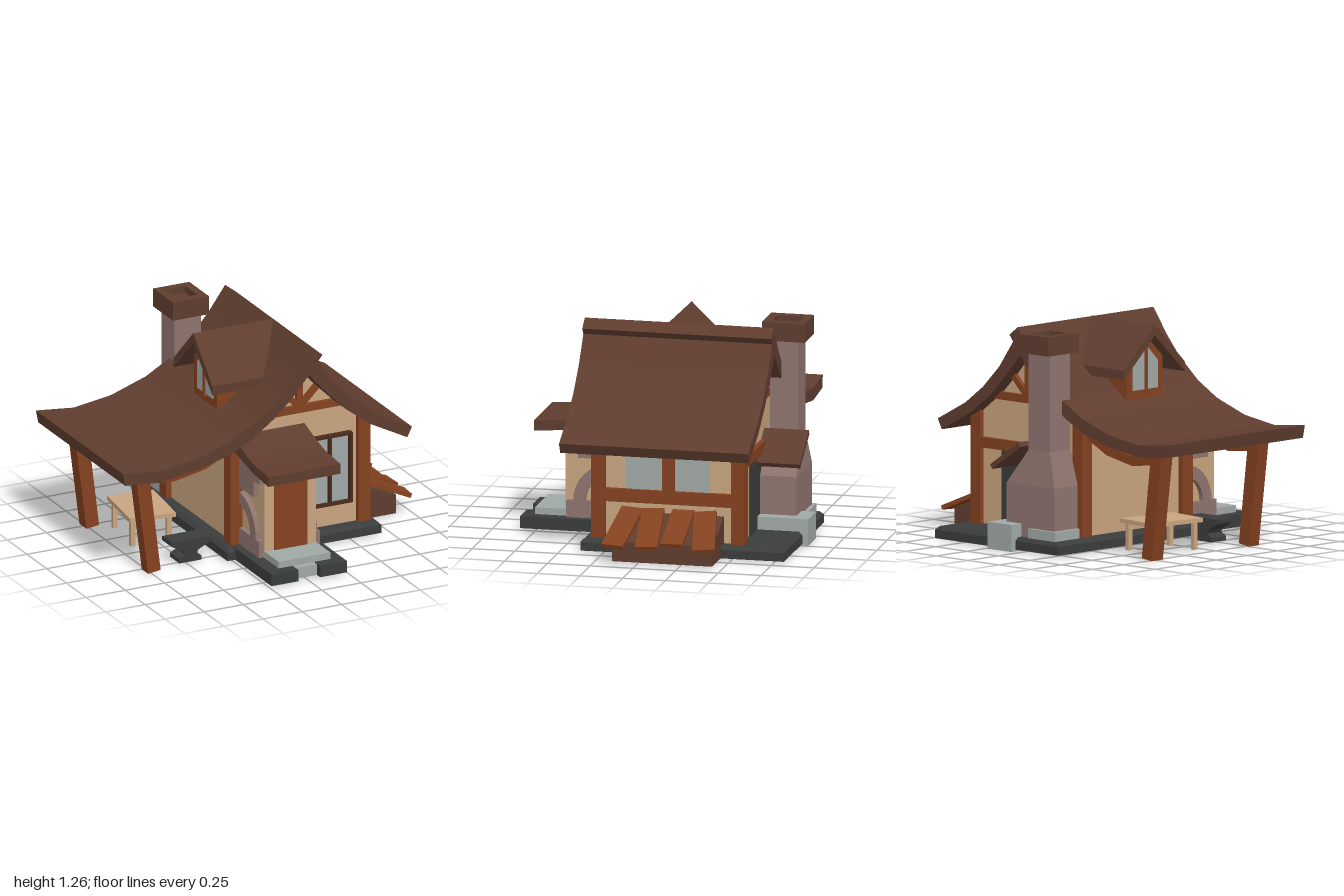
import * as THREE from 'three';

const mat = (name, color, side = THREE.FrontSide) => {
  const m = new THREE.MeshStandardMaterial({ color, side });
  m.name = name;
  return m;
};

export function createModel() {
  const root = new THREE.Group();
  root.name = 'cottage';
  const roofBrown = mat('roof brown', 0x5f3d2f);
  const wood = mat('red wood', 0x84411f);
  const plaster = mat('plaster', 0xc8a47f);
  const brick = mat('mauve stone', 0x8f746e);
  const pale = mat('pale stone', 0xa0a8a6);
  const dark = mat('dark stone', 0x3b3c3c);
  const frame = mat('window frame', 0x4a2a1c);

  const add = (name, geo, m) => {
    const mesh = new THREE.Mesh(geo, m);
    mesh.name = name;
    root.add(mesh);
    return mesh;
  };
  // Box from limits; top = [x0, x1, z0, z1] tapers the upper face
  const box = (name, m, x0, x1, y0, y1, z0, z1, top) => {
    const g = new THREE.BoxGeometry(1, 1, 1);
    const p = g.attributes.position;
    for (let i = 0; i < p.count; i++) {
      const up = p.getY(i) > 0;
      const [a, b, c, d] = up && top ? top : [x0, x1, z0, z1];
      p.setXYZ(i, p.getX(i) > 0 ? b : a, up ? y1 : y0, p.getZ(i) > 0 ? d : c);
    }
    g.computeVertexNormals();
    return add(name, g, m);
  };
  const shapeOf = pts => new THREE.Shape(pts.map(p => new THREE.Vector2(p[0], p[1])));
  // Outline in x,y pushed along z
  const prism = (name, m, pts, z0, z1) => {
    const g = new THREE.ExtrudeGeometry(shapeOf(pts), { depth: z1 - z0, bevelEnabled: false });
    return add(name, g.translate(0, 0, z0), m);
  };
  // Outline in z,y pushed along x
  const sidePrism = (name, m, pts, x0, x1) => {
    const g = new THREE.ExtrudeGeometry(shapeOf(pts.map(([z, y]) => [-z, y])), { depth: x1 - x0, bevelEnabled: false });
    return add(name, g.rotateY(Math.PI / 2).translate(x0, 0, 0), m);
  };
  // Straight beam between two points in x,y
  const beam = (name, m, a, b, w, z0, z1) => {
    const l = Math.hypot(b[0] - a[0], b[1] - a[1]);
    const nx = -(b[1] - a[1]) / l * w / 2, ny = (b[0] - a[0]) / l * w / 2;
    prism(name, m, [[a[0] - nx, a[1] - ny], [b[0] - nx, b[1] - ny], [b[0] + nx, b[1] + ny], [a[0] + nx, a[1] + ny]], z0, z1);
  };

  // Foundation: hollow rim under a floor slab
  box('foundationFront', dark, -0.29, 0.69, 0.01, 0.06, 0.33, 0.38);
  box('foundationBack', dark, -0.29, 0.69, 0.01, 0.06, -0.81, -0.77);
  box('foundationRight', dark, -0.29, -0.25, 0.01, 0.06, -0.77, 0.33);
  box('foundationLeft', dark, 0.65, 0.69, 0.01, 0.06, -0.77, 0.33);
  box('floor', dark, -0.29, 0.69, 0.06, 0.08, -0.81, 0.38, [-0.27, 0.67, -0.79, 0.36]);
  box('porchBase', dark, -0.24, 0.24, 0.01, 0.08, 0.36, 0.68);
  for (const s of [-1, 1]) box('porchCorner', dark, s > 0 ? 0.07 : -0.24, s > 0 ? 0.24 : -0.07, 0.01, 0.08, 0.68, 0.84);
  box('lowerStep', pale, -0.07, 0.07, 0.01, 0.075, 0.68, 0.8);
  box('doorStep', pale, -0.16, 0.17, 0.08, 0.12, 0.57, 0.77);
  box('backStep', pale, 0.05, 0.24, 0.0, 0.155, -0.845, -0.5);

  // House body
  prism('walls', plaster, [[-0.21, 0.08], [0.61, 0.08], [0.61, 0.74], [0.42, 0.88], [0.3, 1.0], [0.2, 1.12],
    [0.08, 1.0], [-0.04, 0.89], [-0.21, 0.77]], -0.54, 0.3);
  for (const [z0, z1] of [[0.25, 0.33], [-0.57, -0.49]]) {
    box('cornerPost', wood, 0.57, 0.645, 0.08, 0.74, z0, z1);
    box('cornerPost', wood, -0.245, -0.17, 0.08, 0.76, z0, z1);
  }

  // Main roof: long sweeping slope and short slope
  prism('longRoof', roofBrown, [[-1, 0.7], [-0.985, 0.625], [-0.76, 0.605], [-0.52, 0.64], [-0.32, 0.695], [-0.18, 0.765],
    [-0.04, 0.865], [0.08, 0.975], [0.18, 1.09], [0.27, 1.205], [0.205, 1.255], [0.1, 1.11], [0, 0.995], [-0.15, 0.87],
    [-0.3, 0.785], [-0.52, 0.71], [-0.76, 0.675]], -0.635, 0.47);
  prism('shortRoof', roofBrown, [[0.18, 1.1], [0.3, 0.965], [0.42, 0.845], [0.58, 0.725], [0.81, 0.605], [0.84, 0.665],
    [0.62, 0.78], [0.48, 0.885], [0.35, 1.015], [0.24, 1.17]], -0.635, 0.47);

  // Gable timbers, front and back
  for (const [z0, z1] of [[0.29, 0.325], [-0.565, -0.53]]) {
    box('gableTie', wood, -0.06, 0.46, 0.81, 0.855, z0, z1);
    box('gablePost', wood, 0.18, 0.22, 0.85, 1.1, z0, z1);
    for (const s of [-1, 1]) beam('gableBrace', wood, [0.2 + s * 0.01, 0.855], [0.2 + s * 0.13, 0.975], 0.035, z0, z1);
  }

  // Front window
  box('frontGlass', pale, 0.26, 0.52, 0.22, 0.63, 0.3, 0.308);
  for (const x of [0.245, 0.382, 0.515]) box('windowUpright', frame, x, x + 0.016, 0.21, 0.64, 0.3, 0.335);
  for (const y of [0.21, 0.624]) box('windowRail', frame, 0.245, 0.531, y, y + 0.016, 0.3, 0.335);

  // Left wall windows and timbers
  box('sideGlass', pale, 0.61, 0.616, 0.37, 0.62, -0.08, 0.13);
  box('sideGlass', pale, 0.61, 0.616, 0.37, 0.62, -0.36, -0.155);
  box('sideUpright', wood, 0.6, 0.64, 0.37, 0.72, -0.155, -0.085);
  box('sideRail', wood, 0.6, 0.64, 0.295, 0.37, -0.49, 0.25);

  // Back doorway and beam
  box('backDoorway', dark, 0.08, 0.42, 0.08, 0.52, -0.547, -0.54);
  box('backRail', wood, 0.05, 0.57, 0.52, 0.58, -0.57, -0.53);
  beam('backCanopy', roofBrown, [0.03, 0.615], [0.255, 0.465], 0.03, -0.8, -0.54);

  // Porch with arched stone sides
  box('porchWalls', plaster, -0.16, 0.17, 0.08, 0.62, 0.28, 0.59);
  box('door', wood, -0.1, 0.11, 0.12, 0.525, 0.59, 0.598);
  sidePrism('porchRoof', roofBrown, [[0.28, 0.74], [0.47, 0.68], [0.58, 0.655], [0.76, 0.645], [0.76, 0.585], [0.56, 0.6], [0.28, 0.66]], -0.22, 0.24);
  const arch = [];
  for (let i = 0; i <= 8; i++) arch.push([0.32 + 0.22 * Math.cos(i * Math.PI / 16), 0.18 + 0.22 * Math.sin(i * Math.PI / 16)]);
  for (let i = 8; i >= 0; i--) arch.push([0.32 + 0.15 * Math.cos(i * Math.PI / 16), 0.18 + 0.15 * Math.sin(i * Math.PI / 16)]);
  for (const [x0, x1] of [[0.165, 0.2], [-0.19, -0.155]]) {
    sidePrism('porchArch', brick, arch, x0, x1);
    box('porchFooting', brick, x0, x1, 0.08, 0.18, 0.3, 0.58);
    box('porchStone', brick, x0, x1, 0.43, 0.53, 0.3, 0.51);
    box('porchStone', brick, x0, x1, 0.53, 0.61, 0.3, 0.585);
  }

  // Dormer on the long slope
  sidePrism('dormerRoof', roofBrown, [[-0.035, 1.26], [0.21, 1.02], [0.21, 0.965], [-0.035, 1.195], [-0.285, 0.965], [-0.285, 1.02]], -0.3, 0.2);
  sidePrism('dormerBody', wood, [[-0.18, 0.75], [0.11, 0.75], [0.11, 1.07], [-0.035, 1.21], [-0.18, 1.07]], -0.22, 0.1);
  sidePrism('dormerGlass', pale, [[-0.135, 0.88], [0.065, 0.88], [0.065, 1.04], [-0.035, 1.14], [-0.135, 1.04]], -0.226, -0.219);
  box('dormerMullion', wood, -0.235, -0.21, 0.86, 1.16, -0.045, -0.025);

  // Chimney with hollow cap
  box('chimneyBase', brick, -0.21, 0.17, 0.08, 0.38, -0.76, -0.5);
  box('chimneyShoulder', brick, -0.21, 0.17, 0.38, 0.58, -0.76, -0.5, [-0.15, 0.02, -0.735, -0.57]);
  box('chimneyShaft', brick, -0.15, 0.02, 0.58, 1.15, -0.735, -0.57);
  box('chimneyFooting', pale, -0.235, -0.02, 0.08, 0.135, -0.78, -0.58);
  const cap = shapeOf([[-0.18, 0.53], [0.05, 0.53], [0.05, 0.78], [-0.18, 0.78]]);
  cap.holes.push(new THREE.Path([[-0.13, 0.58], [-0.13, 0.735], [0, 0.735], [0, 0.58]].map(p => new THREE.Vector2(...p))));
  add('chimneyCap', new THREE.ExtrudeGeometry(cap, { depth: 0.11, bevelEnabled: false }).rotateX(-Math.PI / 2).translate(0, 1.14, 0), roofBrown);
  box('chimneyPlug', roofBrown, -0.14, 0.01, 1.141, 1.21, -0.74, -0.575);

  // Lean-to posts and curved brackets
  for (const [z0, z1] of [[0.25, 0.33], [-0.54, -0.45]]) {
    prism('leanToPost', wood, [[-0.77, 0], [-0.69, 0.01], [-0.765, 0.62], [-0.85, 0.62]], z0, z1);
    prism('leanToBracket', wood, [[-0.78, 0.55], [-0.6, 0.53], [-0.4, 0.57], [-0.22, 0.66], [-0.22, 0.72], [-0.4, 0.63],
      [-0.58, 0.588], [-0.78, 0.605]], z0 + 0.01, z1 - 0.01);
  }

  // Sloping cellar hatch with loose planks
  prism('hatchBody', roofBrown, [[0.6, 0.01], [0.9, 0.01], [0.9, 0.125], [0.6, 0.24]], -0.44, 0.145);
  for (const [z, yaw, len] of [[0.105, -0.11, 0.37], [-0.055, 0.1, 0.37], [-0.213, 0, 0.33], [-0.375, 0.18, 0.37]]) {
    const plank = add('hatchPlank', new THREE.BoxGeometry(len, 0.025, 0.128).translate((len - 0.37) / 2, 0, 0), wood);
    plank.position.set(0.815, 0.188, z);
    plank.rotation.set(0, yaw, -0.41, 'ZYX');
  }

  // Work table
  const table = new THREE.Group();
  table.name = 'table';
  const part = (name, w, h, d, x, y, z) => {
    const m = new THREE.Mesh(new THREE.BoxGeometry(w, h, d), plaster);
    m.name = name;
    m.position.set(x, y, z);
    table.add(m);
  };
  part('tableTop', 0.28, 0.025, 0.38, 0, 0.178, 0);
  for (const x of [-0.11, 0.11]) for (const z of [-0.15, 0.15]) part('tableLeg', 0.028, 0.16, 0.028, x, 0.088, z);
  table.position.set(-0.535, 0, -0.22);
  table.rotation.y = -0.12;
  root.add(table);

  // Anvil
  prism('anvil', dark, [[-0.55, 0.01], [-0.41, 0.01], [-0.41, 0.035], [-0.44, 0.055], [-0.43, 0.075], [-0.35, 0.115], [-0.35, 0.145],
    [-0.6, 0.145], [-0.6, 0.12], [-0.52, 0.075], [-0.51, 0.055], [-0.55, 0.035]], 0.17, 0.29);

  return root;
}
